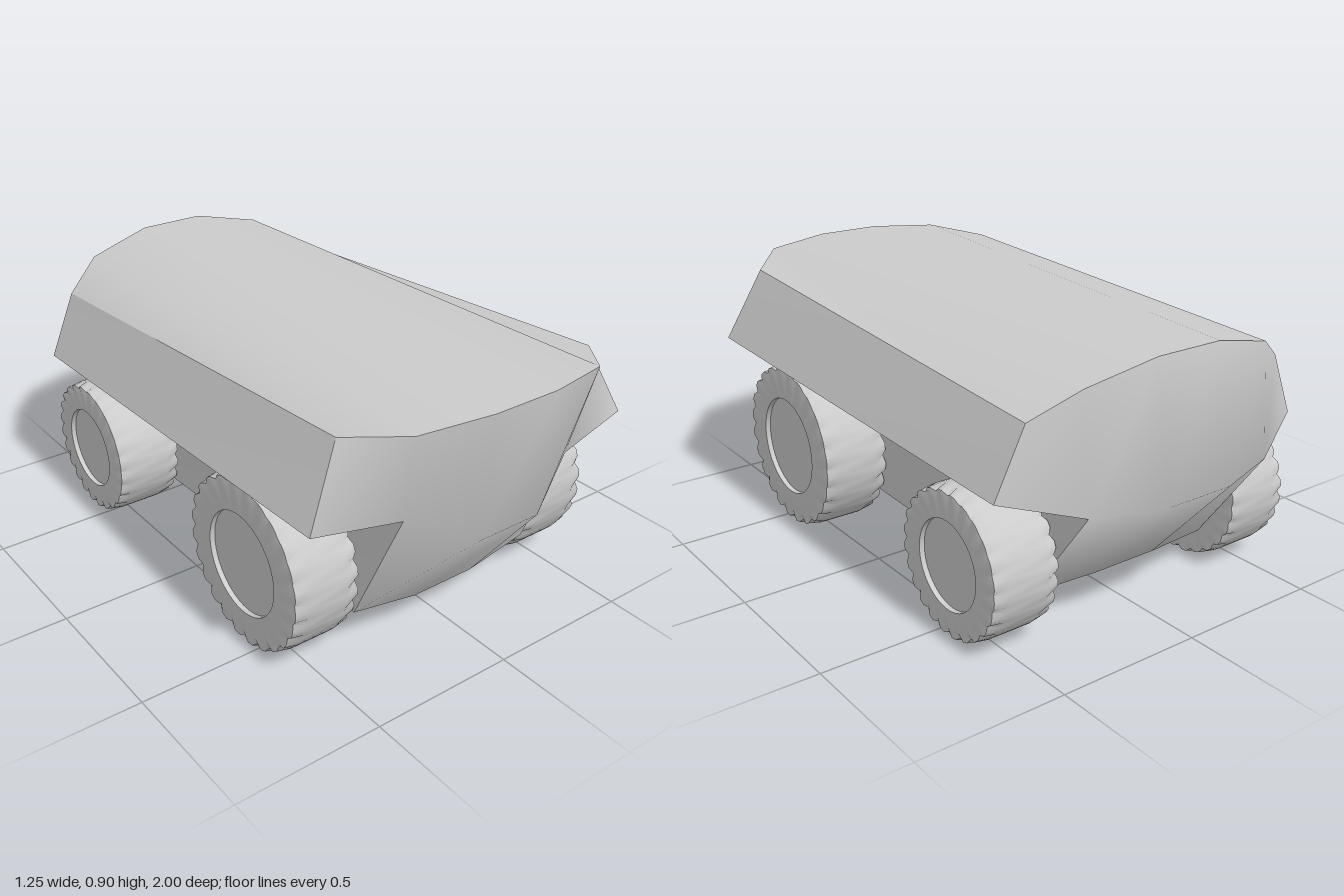
import * as THREE from 'three';
import { toCreasedNormals } from 'three/addons/utils/BufferGeometryUtils.js';

const grey = new THREE.MeshStandardMaterial({ color: 0xcccccc });

// Cross-section points for one half of the hull, outermost to centre
const FRONT = {
  top: [[0.5, 0.86, 0.78], [0.36, 0.89, 0.945], [0.12, 0.905, 1]],
  mid: [[0.625, 0.61, 0.83], [0.33, 0.575, 0.875], [0.12, 0.475, 0.97]],
  low: [null, [0.36, 0.165, 0.7], [0.12, 0.13, 0.71]],
};
const BACK = {
  top: [[0.5, 0.76, -0.81], [0.36, 0.85, -0.885], [0.12, 0.905, -0.92]],
  mid: [[0.6, 0.54, -0.8], [0.36, 0.475, -0.92], [0.12, 0.475, -1]],
  low: [null, [0.36, 0.12, -0.66], [0.12, 0.13, -0.69]],
};

const flip = (p) => p && [-p[0], p[1], p[2]];
// Full row across the hull, from -x to +x
const row = (half) => [...half.map(flip), ...[...half].reverse()];
const reversed = (r) => [...r].reverse();

// Smooth panel from rows of points, seen from outside, left to right and top to bottom
function panel(name, rows) {
  const n = rows[0].length;
  const index = [];
  for (let i = 0; i < rows.length - 1; i++) {
    for (let j = 0; j < n - 1; j++) {
      const r = rows[i], s = rows[i + 1];
      if (!r[j] || !r[j + 1] || !s[j] || !s[j + 1]) continue;
      const a = i * n + j, b = a + 1, c = a + n, d = c + 1;
      index.push(a, c, b, b, c, d);
    }
  }
  const geo = new THREE.BufferGeometry();
  geo.setAttribute('position',
    new THREE.Float32BufferAttribute(rows.flat().flatMap((p) => p || [0, 0.5, 0]), 3));
  geo.setIndex(index);
  geo.computeVertexNormals();
  const mesh = new THREE.Mesh(geo, grey);
  mesh.name = name;
  return mesh;
}

function createHull() {
  const hull = new THREE.Group();
  hull.name = 'hull';
  const rows = (end) => [row(end.top), row(end.mid), row(end.low)];
  hull.add(
    panel('frontPanel', rows(FRONT)),
    panel('backPanel', rows(BACK).map(reversed)),
    panel('roof', [row(BACK.top), row(FRONT.top)]),
    panel('floor', [row(FRONT.low).slice(1, -1), row(BACK.low).slice(1, -1)]),
  );

  // Sloping side, fender underside and inner wall on each side
  const strips = [
    ['Side', ['top', 0], ['mid', 0]],
    ['FenderUnderside', ['mid', 0], ['mid', 1]],
    ['InnerWall', ['mid', 1], ['low', 1]],
  ];
  for (const [name, upper, lower] of strips) {
    const pts = [upper, lower].map(([k, i]) => [FRONT[k][i], BACK[k][i]]);
    hull.add(panel('left' + name, pts));
    hull.add(panel('right' + name, pts.map((r) => reversed(r.map(flip)))));
  }
  return hull;
}

// Tyre with scalloped shoulder lugs, and a recessed hub disc on both faces
function createWheel(name, radius, halfWidth, rim) {
  const wheel = new THREE.Group();
  wheel.name = name;
  const LUGS = 24, STEPS = 3;
  const half = [[0.84, rim], [1, rim], [1, 0.84], [0.99, 0.97], [0.6, 1]];
  const profile = [
    ...half.map(([a, r]) => new THREE.Vector2(r * radius, -a * halfWidth)),
    ...reversed(half).map(([a, r]) => new THREE.Vector2(r * radius, a * halfWidth)),
  ];
  const tyre = new THREE.LatheGeometry(profile, LUGS * STEPS);
  const pos = tyre.attributes.position;
  for (let i = 0; i < pos.count; i++) {
    const k = i % profile.length;
    const step = Math.floor(i / profile.length) % STEPS;
    // Notch the shoulder once per lug
    if ((k === 3 || k === profile.length - 4) && step === 0) {
      pos.setXYZ(i, pos.getX(i) * 0.955, pos.getY(i) * 0.96, pos.getZ(i) * 0.955);
    }
  }
  const tyreMesh = new THREE.Mesh(toCreasedNormals(tyre, 0.85), grey);
  tyreMesh.name = 'tyre';
  const hub = new THREE.Mesh(
    new THREE.CylinderGeometry(rim * radius, rim * radius, halfWidth * 1.7, 48), grey);
  hub.name = 'hub';
  wheel.add(tyreMesh, hub);
  wheel.rotation.z = Math.PI / 2;
  return wheel;
}

export function createModel() {
  const model = new THREE.Group();
  model.name = 'rover';
  model.add(createHull());
  for (const [side, s] of [['Left', 1], ['Right', -1]]) {
    const front = createWheel('front' + side + 'Wheel', 0.295, 0.117, 0.595);
    front.position.set(s * 0.482, 0.298, 0.44);
    const rear = createWheel('rear' + side + 'Wheel', 0.245, 0.117, 0.6);
    rear.position.set(s * 0.482, 0.253, -0.565);
    model.add(front, rear);
  }
  return model;
}
